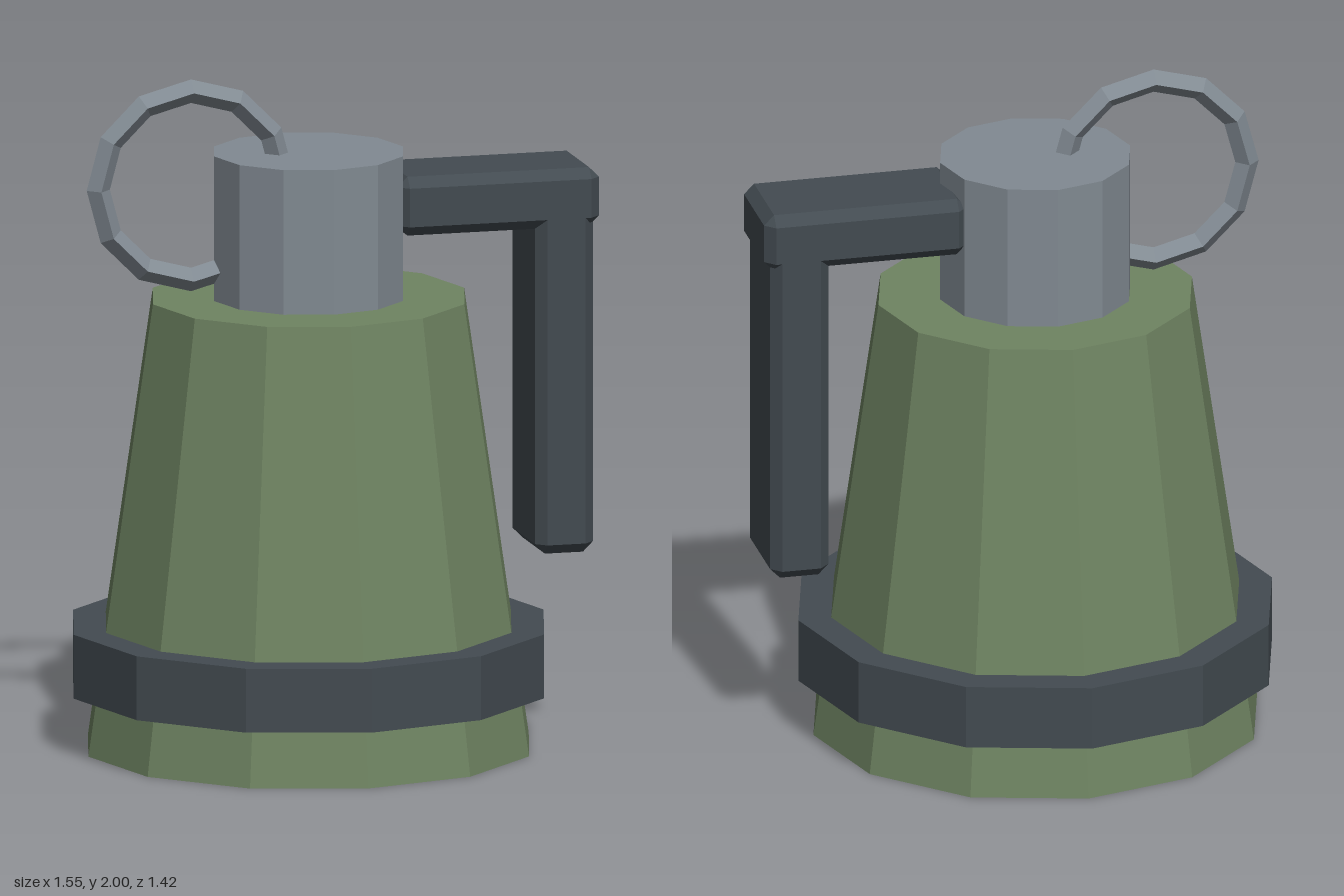
import * as THREE from 'three';
import { ConvexGeometry } from 'three/addons/geometries/ConvexGeometry.js';

const AXIS_X = -0.07; // the round parts share this vertical axis
const SIDES = 12;

const paint = (color) => new THREE.MeshStandardMaterial({ color, flatShading: true });

// Box with every edge and corner chamfered, given by its min and max corners
function chamferedBox(min, max, bevel) {
  const half = max.map((v, i) => (v - min[i]) / 2);
  const points = [];
  for (const sx of [-1, 1]) for (const sy of [-1, 1]) for (const sz of [-1, 1]) {
    for (let axis = 0; axis < 3; axis++) {
      const p = half.map((h, i) => (i === axis ? h : h - bevel));
      points.push(new THREE.Vector3(sx * p[0], sy * p[1], sz * p[2]));
    }
  }
  const geometry = new ConvexGeometry(points);
  geometry.translate(...min.map((v, i) => (v + max[i]) / 2));
  return geometry;
}

// Upright twelve-sided drum between two heights
function drum(topRadius, bottomRadius, y0, y1) {
  const geometry = new THREE.CylinderGeometry(topRadius, bottomRadius, y1 - y0, SIDES);
  geometry.translate(AXIS_X, (y0 + y1) / 2, 0);
  return geometry;
}

export function createModel() {
  const model = new THREE.Group();
  model.name = 'model';
  const green = paint(0x6f8462);
  const steel = paint(0x818a92);
  const dark = paint(0x434b51);

  const add = (name, geometry, material) => {
    const mesh = new THREE.Mesh(geometry, material);
    mesh.name = name;
    model.add(mesh);
    return mesh;
  };

  // Tapered body with a band near its foot
  add('body', drum(0.47, 0.665, 0, 1.335), green);
  add('band', drum(0.71, 0.71, 0.175, 0.365), dark);

  // Neck on top
  add('neck', drum(0.285, 0.285, 1.335, 1.765), steel);

  // Pull ring passing through the neck, diamond in section
  const ring = add('pullRing', new THREE.TorusGeometry(0.28, 0.035, 4, SIDES), steel);
  ring.position.set(-0.425, 1.683, 0);

  // Lever: arm out of the neck and handle hanging beside the body
  add('leverArm', chamferedBox([0.165, 1.525, -0.155], [0.773, 1.7, 0.155], 0.03), dark);
  add('leverHandle', chamferedBox([0.58, 0.557, -0.155], [0.755, 1.62, 0.155], 0.03), dark);

  return model;
}
